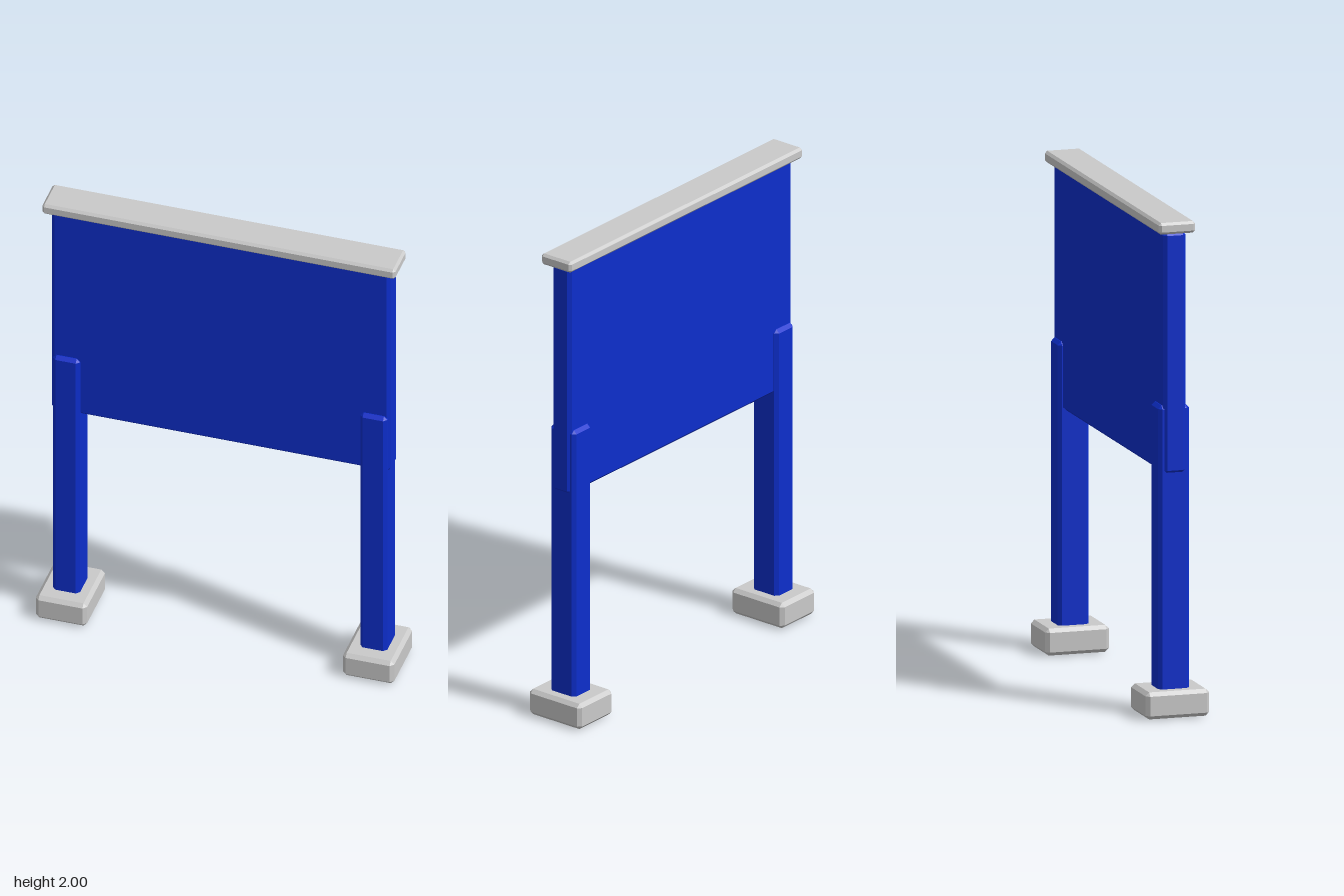
import * as THREE from 'three';
import { ConvexGeometry } from 'three/addons/geometries/ConvexGeometry.js';

const blue = new THREE.MeshStandardMaterial({ name: 'blue paint', color: 0x0d2ecc });
const grey = new THREE.MeshStandardMaterial({ name: 'light grey', color: 0xcacaca });

// Box with chamfered edges, spanning y0..y1 and centred on x and z
function bevelBox(name, material, width, y0, y1, depth, bevel) {
  const half = [width / 2, (y1 - y0) / 2, depth / 2];
  const points = [];
  for (const sx of [-1, 1]) for (const sy of [-1, 1]) for (const sz of [-1, 1]) {
    const sign = [sx, sy, sz];
    for (let axis = 0; axis < 3; axis++) {
      // each corner becomes three points, one on each adjoining face
      const c = half.map((h, i) => sign[i] * (i === axis ? h : h - bevel));
      points.push(new THREE.Vector3(...c));
    }
  }
  const mesh = new THREE.Mesh(new ConvexGeometry(points), material);
  mesh.name = name;
  mesh.position.y = (y0 + y1) / 2;
  return mesh;
}

export function createModel() {
  const sign = new THREE.Group();
  sign.name = 'signBoard';

  // Board and its cap rail
  sign.add(bevelBox('panel', blue, 1.4, 0.98, 1.955, 0.094, 0.014));
  sign.add(bevelBox('capRail', grey, 1.46, 1.953, 2, 0.152, 0.01));

  // Posts standing through their foot blocks
  for (const [side, s] of [['left', 1], ['right', -1]]) {
    const leg = new THREE.Group();
    leg.name = side + 'Leg';
    leg.position.x = s * 0.635;
    leg.add(bevelBox(side + 'Post', blue, 0.112, 0, 1.255, 0.128, 0.014));
    leg.add(bevelBox(side + 'Foot', grey, 0.212, 0.003, 0.112, 0.264, 0.015));
    sign.add(leg);
  }
  return sign;
}
